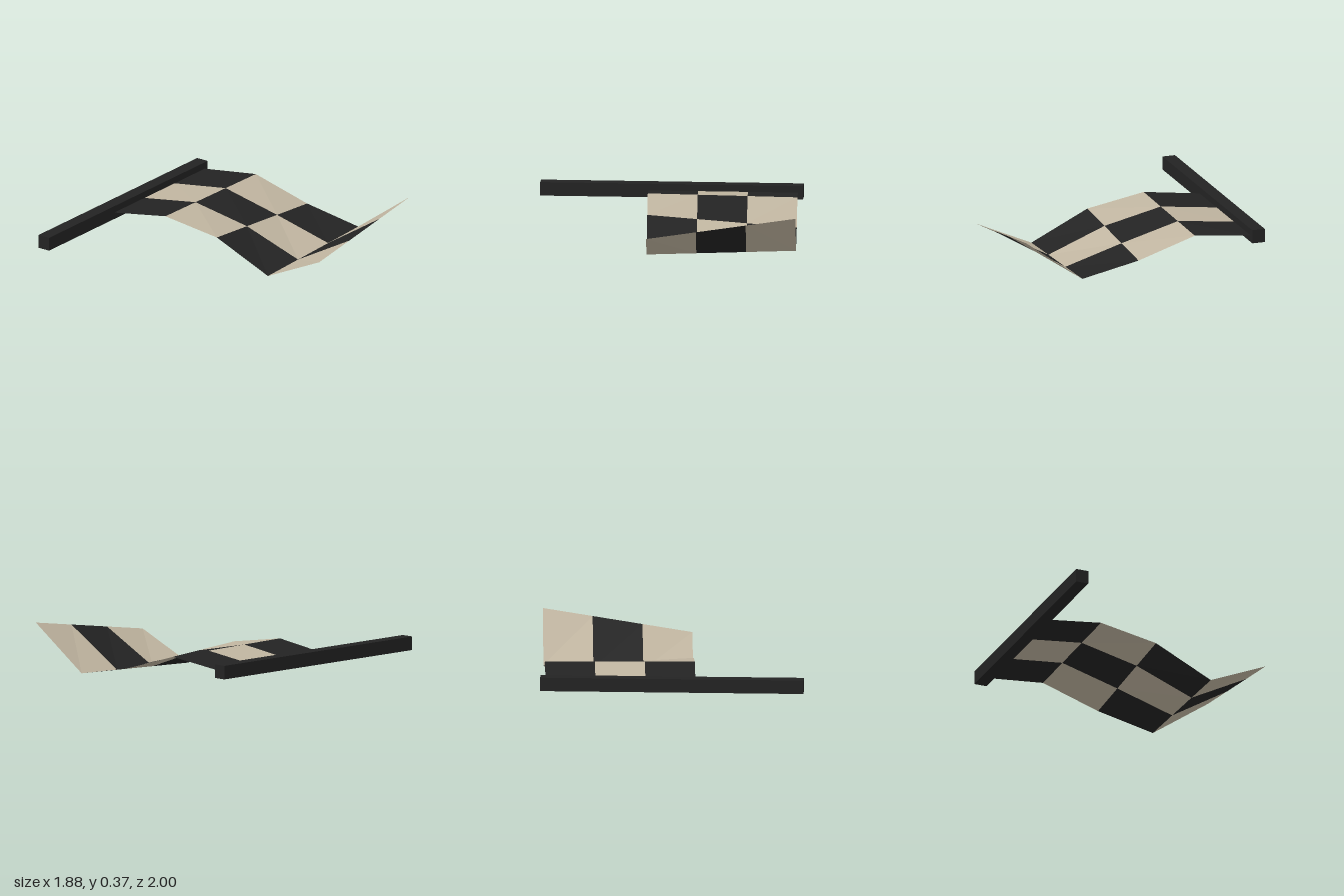
import * as THREE from 'three';

export function createModel() {
  const model = new THREE.Group();
  model.name = 'checkeredFlag';

  const black = new THREE.MeshStandardMaterial({ color: 0x232323, flatShading: true, side: THREE.DoubleSide });
  black.name = 'black';
  const cream = new THREE.MeshStandardMaterial({ color: 0xc0b5a0, flatShading: true, side: THREE.DoubleSide });
  cream.name = 'cream';

  // Square pole lying along z
  const pole = new THREE.Mesh(new THREE.BoxGeometry(0.096, 0.1, 1.92), black);
  pole.position.set(-0.892, 0.21, 0.04);
  pole.name = 'pole';
  model.add(pole);

  // Cloth folds: each line runs from the back edge to the front edge
  const folds = [
    { x: -0.845, back: [0.21, -0.885], front: [0.21, 0.21] },
    { x: -0.4, back: [0.264, -0.914], front: [0.277, 0.18] },
    { x: 0.047, back: [0.13, -0.943], front: [0.207, 0.15] },
    { x: 0.492, back: [0.046, -0.971], front: [0.002, 0.122] },
    { x: 0.938, back: [0.373, -1], front: [0.206, 0.092] },
  ];
  const rows = 3;
  const point = (col, row) => {
    const { x, back, front } = folds[col];
    const t = row / rows;
    return [x, THREE.MathUtils.lerp(back[0], front[0], t), THREE.MathUtils.lerp(back[1], front[1], t)];
  };

  // Checkered panels, one flat quad each
  const cloth = new THREE.Group();
  cloth.name = 'cloth';
  for (let col = 0; col < folds.length - 1; col++) {
    for (let row = 0; row < rows; row++) {
      const a = point(col, row), b = point(col, row + 1);
      const c = point(col + 1, row + 1), d = point(col + 1, row);
      const geometry = new THREE.BufferGeometry();
      geometry.setAttribute('position', new THREE.Float32BufferAttribute([a, b, c, a, c, d].flat(), 3));
      geometry.computeVertexNormals();
      const isBlack = (col + row) % 2 === 0;
      const panel = new THREE.Mesh(geometry, isBlack ? black : cream);
      panel.name = isBlack ? 'blackPanel' : 'creamPanel';
      cloth.add(panel);
    }
  }
  model.add(cloth);
  return model;
}
